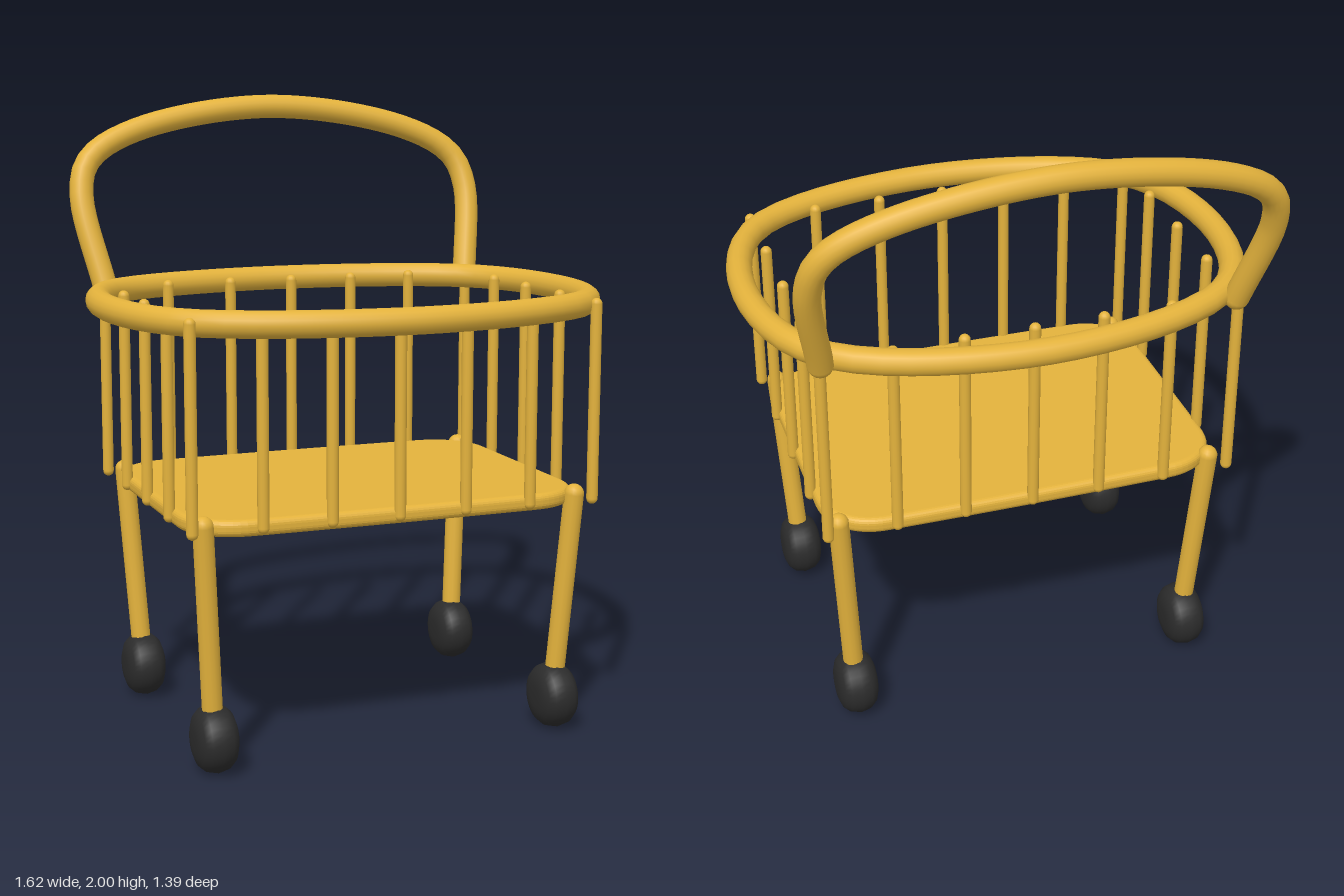
import * as THREE from 'three';

const gold = new THREE.MeshStandardMaterial({ color: 0xe3b23c });
const black = new THREE.MeshStandardMaterial({ color: 0x2b2b2b });
const CZ = 0.035; // z centre of the basket
const UP = new THREE.Vector3(0, 1, 0);
const V = (x, y, z) => new THREE.Vector3(x, y, z);

export function createModel() {
  const model = new THREE.Group();
  const add = (name, geometry, material = gold) => {
    const mesh = new THREE.Mesh(geometry, material);
    mesh.name = name;
    model.add(mesh);
    return mesh;
  };

  // Round-ended rod whose tips reach a and b
  const rod = (name, a, b, radius) => {
    const dir = b.clone().sub(a);
    const mesh = add(name, new THREE.CapsuleGeometry(radius, dir.length() - 2 * radius, 5, 14));
    mesh.position.copy(a).add(b).multiplyScalar(0.5);
    mesh.quaternion.setFromUnitVectors(UP, dir.normalize());
  };

  // Basket floor: rounded plate with softened edges
  const bevel = 0.02, hx = 0.65 - bevel, hz = 0.48 - bevel, r = 0.17;
  const outline = new THREE.Shape();
  outline.moveTo(-hx + r, -hz);
  outline.quadraticCurveTo(0, -hz - 0.008, hx - r, -hz);
  outline.bezierCurveTo(hx - r * 0.4, -hz, hx, -hz + r * 0.4, hx, -hz + r);
  outline.lineTo(hx, hz - r);
  outline.bezierCurveTo(hx, hz - r * 0.4, hx - r * 0.4, hz, hx - r, hz);
  outline.quadraticCurveTo(0, hz + 0.008, -hx + r, hz);
  outline.bezierCurveTo(-hx + r * 0.4, hz, -hx, hz - r * 0.4, -hx, hz - r);
  outline.lineTo(-hx, -hz + r);
  outline.bezierCurveTo(-hx, -hz + r * 0.4, -hx + r * 0.4, -hz, -hx + r, -hz);
  const floor = add('floor', new THREE.ExtrudeGeometry(outline, {
    depth: 0.012, bevelThickness: 0.02, bevelSize: bevel, bevelSegments: 5, curveSegments: 14,
  }));
  floor.rotation.x = -Math.PI / 2;
  floor.position.set(0, 0.757, CZ);

  // Top rim
  const rimY = 1.373;
  const rimPoints = [
    [0.77, 0], [0.63, 0.43], [0, 0.615], [-0.63, 0.43],
    [-0.77, 0], [-0.63, -0.43], [0, -0.615], [0.63, -0.43],
  ].map(([x, z]) => V(x, rimY, z + 0.04));
  const rimCurve = new THREE.CatmullRomCurve3(rimPoints, true);
  add('rim', new THREE.TubeGeometry(rimCurve, 56, 0.041, 16, true));

  // Push handle, leaning back
  const side = [[0.65, 1.37], [0.698, 1.68], [0.66, 1.79], [0.49, 1.885]];
  const handlePoints = [
    ...side,
    [0, 1.96],
    ...side.map(([x, y]) => [-x, y]).reverse(),
  ].map(([x, y]) => V(x, y, -0.44 - 0.364 * (y - 1.37)));
  const handleCurve = new THREE.CatmullRomCurve3(handlePoints);
  add('handle', new THREE.TubeGeometry(handleCurve, 56, 0.04, 16));
  for (const s of [0, handlePoints.length - 1]) {
    add('handleEnd', new THREE.SphereGeometry(0.04, 16, 10)).position.copy(handlePoints[s]);
  }

  // Spindles along the front, back and sides
  const spindle = (x, z) => rod('spindle', V(x, 0.745, z), V(x, 1.395, z), 0.018);
  for (const s of [-1, 1]) {
    for (let i = -3; i <= 3; i++) spindle(i * 0.218, CZ + s * 0.48);
    for (let i = -1; i <= 1; i++) spindle(s * 0.653, CZ + i * 0.24);
  }

  // Wheel profile: radius against axle position
  const wheelProfile = [
    [0, -0.065], [0.03, -0.065], [0.055, -0.062], [0.08, -0.052], [0.097, -0.033],
    [0.105, 0], [0.097, 0.033], [0.08, 0.052], [0.055, 0.062], [0.03, 0.065], [0, 0.065],
  ].map(([x, y]) => new THREE.Vector2(x, y));
  const wheelGeometry = new THREE.LatheGeometry(wheelProfile, 32);

  // Splayed legs and wheels
  for (const sx of [-1, 1]) {
    for (const sz of [-1, 1]) {
      rod('leg', V(sx * 0.612, 0.805, 0.04 + sz * 0.44), V(sx * 0.572, 0.13, 0.04 + sz * 0.395), 0.032);
      const wheel = add('wheel', wheelGeometry, black);
      wheel.rotation.z = Math.PI / 2;
      wheel.position.set(sx * 0.57, 0.107, 0.04 + sz * 0.395);
    }
  }
  return model;
}
